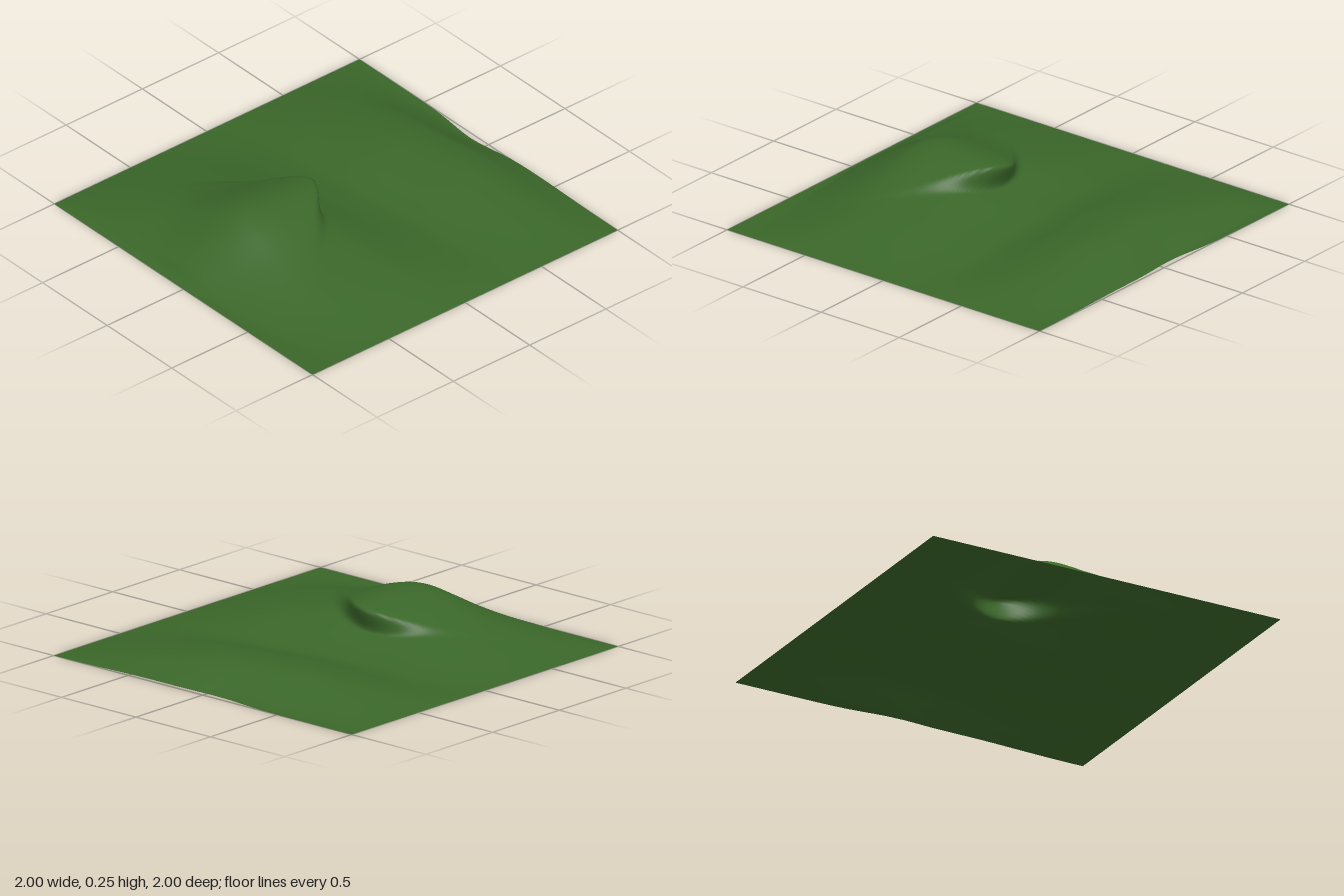
import * as THREE from 'three';

// Smooth curve through values spaced 0.1 apart from z = -1 to z = 1
function profile(values) {
  const at = i => values[Math.min(values.length - 1, Math.max(0, i))];
  return z => {
    const t = THREE.MathUtils.clamp((z + 1) * 10, 0, values.length - 1);
    const i = Math.min(Math.floor(t), values.length - 2), f = t - i;
    const a = at(i - 1), b = at(i), c = at(i + 1), d = at(i + 2);
    return b + 0.5 * f * (c - a + f * (2 * a - 5 * b + 4 * c - d + f * (3 * (b - c) + d - a)));
  };
}

// Cross-sections from back to front, as fractions of each hill's height
const backRidge = profile([0, 0.35, 0.77, 0.98, 1, 0.88, 0.68, 0.42, 0.2, 0.08, 0,
  0, 0, 0, 0, 0, 0, 0, 0, 0, 0]);
const frontHill = profile([0, 0, 0, 0, 0, 0, 0, 0, 0.05, 0.22, 0.44,
  0.66, 0.86, 0.96, 1, 1, 0.92, 0.75, 0.5, 0.22, 0]);
const knollSlope = profile([1, 1, 1, 1, 1, 1, 1, 1, 1, 1, 1,
  1, 1, 0.95, 0.96, 0.96, 0.88, 0.6, 0.36, 0.2, 0]);

const { smoothstep } = THREE.MathUtils;
const gauss = (d, s) => Math.exp(-d * d / (2 * s * s));

// Moves one point of the flat sheet onto the landscape
function shape(x, z) {
  const width = Math.cos(x * Math.PI / 2);
  const rim = smoothstep(1 - Math.abs(z), 0, 0.1) * smoothstep(1 - Math.abs(x), 0, 0.1);

  const ridge = 0.117 * width * (1 - 0.12 * x) * backRidge(z + 0.04 * Math.sin(3 * x + 0.3));
  const hill = 0.15 * width * frontHill(z + 0.12 * x) * smoothstep(1 - z, 0, 0.08);

  // Knoll on the front hill, with a curved brow that leans backwards
  const brow = 0.11 + 1.2 * (x + 0.1) ** 2;
  const rise = smoothstep(z, brow, brow + 0.1);
  const across = gauss(x + 0.06, 0.2);
  const knoll = 0.103 * across * knollSlope(z) * rise;
  const lean = 0.12 * gauss(x + 0.1, 0.14) * rise * (1 - smoothstep(z, 0.2, 0.5));

  // Gentle unevenness, and the notch in the back edge
  const bumps = 0.003 * rim * width * Math.sin(9 * x + 2 * z) * Math.sin(8 * z - 3 * x);
  const notch = 0.03 * gauss(x + 0.1, 0.15) * (1 - smoothstep(z, -1, -0.75));

  return [x, Math.max(0, ridge + hill + knoll + bumps), z - lean + notch];
}

export function createModel() {
  const group = new THREE.Group();
  group.name = 'landscape';

  const geometry = new THREE.PlaneGeometry(2, 2, 140, 140).rotateX(-Math.PI / 2);
  const pos = geometry.attributes.position;
  for (let i = 0; i < pos.count; i++) pos.setXYZ(i, ...shape(pos.getX(i), pos.getZ(i)));
  geometry.computeVertexNormals();

  const grass = new THREE.MeshStandardMaterial({ color: 0x3a6629, side: THREE.DoubleSide });
  const terrain = new THREE.Mesh(geometry, grass);
  terrain.name = 'grassyHills';
  group.add(terrain);
  return group;
}
